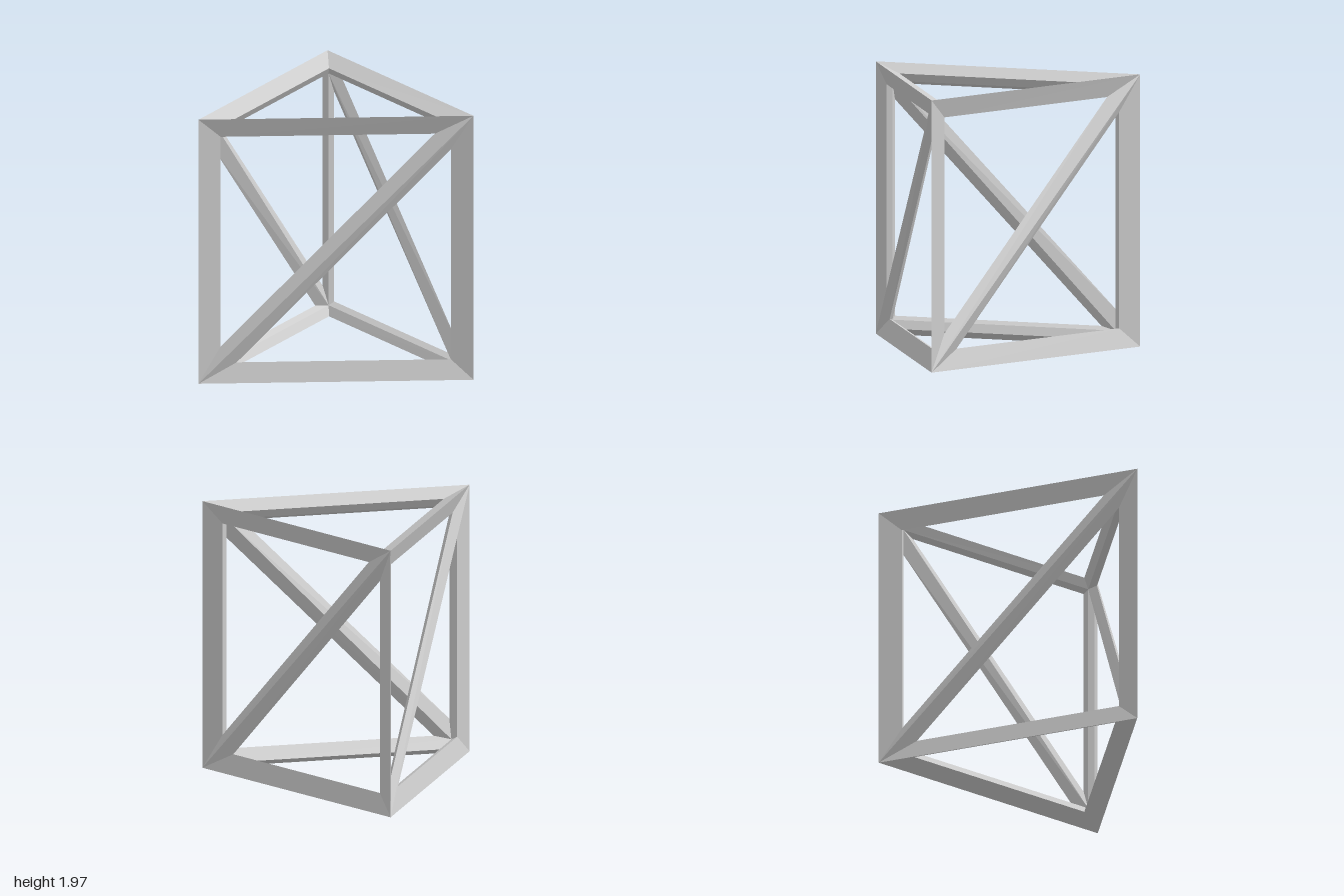
import * as THREE from 'three';

const V = (x, y, z) => new THREE.Vector3(x, y, z);
const WIDTH = 0.083; // half-width of a strut measured in the plane of each panel

// Centre lines of the prism: three bottom corners, then three top corners
const plan = [[-0.805, -0.922], [-0.805, 0.922], [0.76, 0]];
// Offset from a centre-line corner to its outer ridge corner, in plan
const push = [[-0.045, -0.078], [-0.045, 0.078], [0.09, 0]];
const corners = [], offsets = [];
for (const [y, dy] of [[0.06, -0.06], [1.91, 0.06]]) {
  plan.forEach(([x, z], i) => {
    corners.push(V(x, y, z));
    offsets.push(V(push[i][0], dy, push[i][1]));
  });
}
const outer = corners.map((p, i) => p.clone().add(offsets[i]));
const inner = corners.map((p, i) => p.clone().sub(offsets[i]));

// Triangle corners moved inwards by WIDTH from every side
function insetTriangle(face) {
  const [a, b, c] = face.map(i => corners[i]);
  const la = b.distanceTo(c), lb = c.distanceTo(a), lc = a.distanceTo(b);
  const sum = la + lb + lc;
  const centre = V(0, 0, 0).addScaledVector(a, la / sum)
    .addScaledVector(b, lb / sum).addScaledVector(c, lc / sum);
  const doubleArea = b.clone().sub(a).cross(c.clone().sub(a)).length();
  const radius = doubleArea / sum;
  return [a, b, c].map(p => centre.clone().lerp(p, 1 - WIDTH / radius));
}

function strutName(a, b) {
  if (a < 3 && b < 3) return 'bottomRail';
  if (a >= 3 && b >= 3) return 'topRail';
  return Math.abs(a - b) === 3 ? 'post' : 'diagonalBrace';
}

export function createModel() {
  const group = new THREE.Group();
  group.name = 'triangularTruss';
  const grey = new THREE.MeshStandardMaterial({ color: 0xcccccc });
  grey.name = 'grey';

  // Panels: the two ends, and each side split by a diagonal
  const faces = [[3, 4, 5], [0, 2, 1]];
  for (let i = 0; i < 3; i++) {
    const j = (i + 1) % 3;
    faces.push([i, j, j + 3], [i, j + 3, i + 3]);
  }

  // Each strut has a diamond section; each adjoining panel gives two of its sides
  const struts = new Map();
  for (const face of faces) {
    const inset = insetTriangle(face);
    for (let k = 0; k < 3; k++) {
      const n = (k + 1) % 3, a = face[k], b = face[n];
      const key = Math.min(a, b) + '-' + Math.max(a, b);
      if (!struts.has(key)) struts.set(key, { name: strutName(a, b), points: [] });
      const quad = (p, q, r, s) => struts.get(key).points.push(p, q, r, p, r, s);
      quad(outer[a], outer[b], inset[n], inset[k]);
      quad(inner[b], inner[a], inset[k], inset[n]);
    }
  }

  for (const { name, points } of struts.values()) {
    const geometry = new THREE.BufferGeometry().setFromPoints(points);
    geometry.computeVertexNormals();
    const mesh = new THREE.Mesh(geometry, grey);
    mesh.name = name;
    group.add(mesh);
  }
  return group;
}
